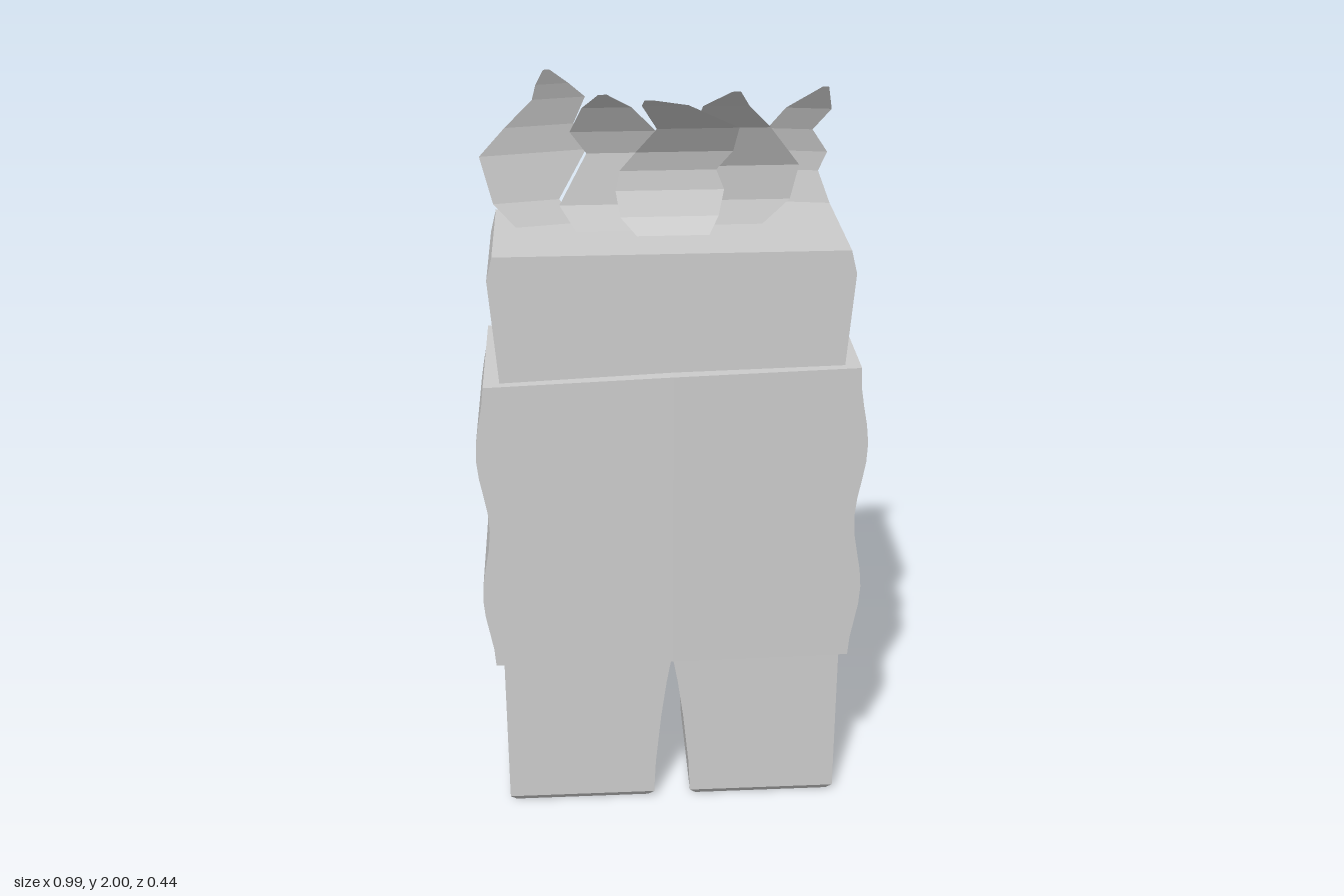
import * as THREE from 'three';

const grey = new THREE.MeshStandardMaterial({ color: 0xcccccc, flatShading: true, side: THREE.DoubleSide });
grey.name = 'plain grey';

function addMesh(parent, name, geometry) {
  const mesh = new THREE.Mesh(geometry, grey);
  mesh.name = name;
  parent.add(mesh);
  return mesh;
}

// Extrude an outline to a slab centred on z = 0
function slab(points, depth) {
  const shape = new THREE.Shape(points.map(([x, y]) => new THREE.Vector2(x, y)));
  const geometry = new THREE.ExtrudeGeometry(shape, { depth, bevelEnabled: false });
  return geometry.translate(0, 0, -depth / 2);
}

// Half of the wide band: wavy side edge, faces bowed outward towards the middle
function bandHalf(side, top) {
  const bottom = 0.465, steps = 16;
  const points = [[0, 1.29], [0, bottom]];
  for (let i = 0; i <= steps; i++) {
    const y = bottom + (top - bottom) * i / steps;
    points.push([side * (0.483 + 0.013 * Math.cos(2 * Math.PI * (y - 0.67) / 0.41)), y]);
  }
  const geometry = slab(points, 0.42);
  const p = geometry.attributes.position;
  for (let i = 0; i < p.count; i++) {
    p.setZ(i, p.getZ(i) * (1 + 0.04 * (1 - Math.abs(p.getX(i)) / 0.48)));
  }
  geometry.computeVertexNormals();
  return geometry;
}

// Curled leaf from rows of [y, left x, right x]. Its z runs on a parabola
// through base, middle and tip; slope turns the leaf about y.
function leaf(rows, [base, middle, tip], slope) {
  const centre = (rows[0][1] + rows[0][2]) / 2;
  const bottom = rows[0][0], height = rows[rows.length - 1][0] - bottom;
  const bend = 2 * (base + tip - 2 * middle);
  const positions = [], index = [];
  rows.forEach(([y, xl, xr], i) => {
    const t = (y - bottom) / height;
    const z = base + (tip - base - bend) * t + bend * t * t;
    for (const x of [xl, xr]) positions.push(x, y, z + slope * (x - centre));
    if (i > 0) {
      const a = 2 * i - 2;
      index.push(a, a + 1, a + 3, a, a + 3, a + 2);
    }
  });
  const geometry = new THREE.BufferGeometry();
  geometry.setAttribute('position', new THREE.Float32BufferAttribute(positions, 3));
  geometry.setIndex(index);
  const flat = geometry.toNonIndexed();
  flat.computeVertexNormals();
  return flat;
}

export function createModel() {
  const model = new THREE.Group();
  model.name = 'figure';

  // Block body with two legs and a narrow arch between them
  const half = [
    [0, 0.465], [0.015, 0.38], [0.03, 0.27], [0.045, 0.12], [0.05, 0.02],
    [0.45, 0.02], [0.45, 0.5], [0.43, 1.28], [0.45, 1.54], [0.435, 1.6],
  ];
  const mirrored = half.slice(1).reverse().map(([x, y]) => [-x, y]);
  addMesh(model, 'body', slab([...half, ...mirrored], 0.375));

  // Chamfered sole and half of the band on each side
  for (const side of [-1, 1]) {
    const label = side > 0 ? 'left' : 'right';
    const sole = new THREE.BoxGeometry(0.4, 0.02, 0.375);
    const p = sole.attributes.position;
    for (let i = 0; i < p.count; i++) {
      if (p.getY(i) < 0) p.setXYZ(i, p.getX(i) * 0.92, p.getY(i), p.getZ(i) * 0.92);
    }
    sole.computeVertexNormals();
    addMesh(model, `${label}Sole`, sole).position.set(0.25 * side, 0.01, 0);
    addMesh(model, `${label}Band`, bandHalf(side, side > 0 ? 1.3 : 1.27));
  }

  // Curling leaves on top
  addMesh(model, 'outerRightLeaf', leaf([
    [1.6, -0.38, -0.23], [1.66, -0.435, -0.27], [1.78, -0.465, -0.2],
    [1.85, -0.4, -0.23], [1.92, -0.33, -0.2], [1.96, -0.32, -0.24], [2, -0.3, -0.285],
  ], [-0.05, -0.08, -0.02], -0.2));

  addMesh(model, 'innerRightLeaf', leaf([
    [1.6, -0.23, -0.08], [1.66, -0.27, -0.03], [1.79, -0.2, -0.01],
    [1.85, -0.24, -0.03], [1.92, -0.21, -0.09], [1.96, -0.17, -0.15],
  ], [0.005, -0.03, 0.07], 0));

  addMesh(model, 'middleLeaf', leaf([
    [1.6, -0.08, 0.1], [1.64, -0.12, 0.125], [1.7, -0.13, 0.14], [1.75, -0.12, 0.12],
    [1.8, -0.08, 0.16], [1.87, -0.03, 0.17], [1.95, -0.07, 0.04], [1.97, -0.065, -0.045],
  ], [0.05, 0, 0.17], 0));

  addMesh(model, 'innerLeftLeaf', leaf([
    [1.6, 0.1, 0.24], [1.66, 0.06, 0.31], [1.75, 0.04, 0.33],
    [1.86, 0.06, 0.25], [1.93, 0.08, 0.19], [1.975, 0.145, 0.165],
  ], [-0.03, -0.025, 0.12], 0));

  addMesh(model, 'outerLeftLeaf', leaf([
    [1.6, 0.25, 0.4], [1.65, 0.2, 0.41], [1.73, 0.17, 0.38], [1.78, 0.2, 0.4],
    [1.84, 0.25, 0.36], [1.9, 0.29, 0.4], [1.965, 0.37, 0.385],
  ], [-0.03, -0.055, 0.035], 0.17));

  return model;
}
